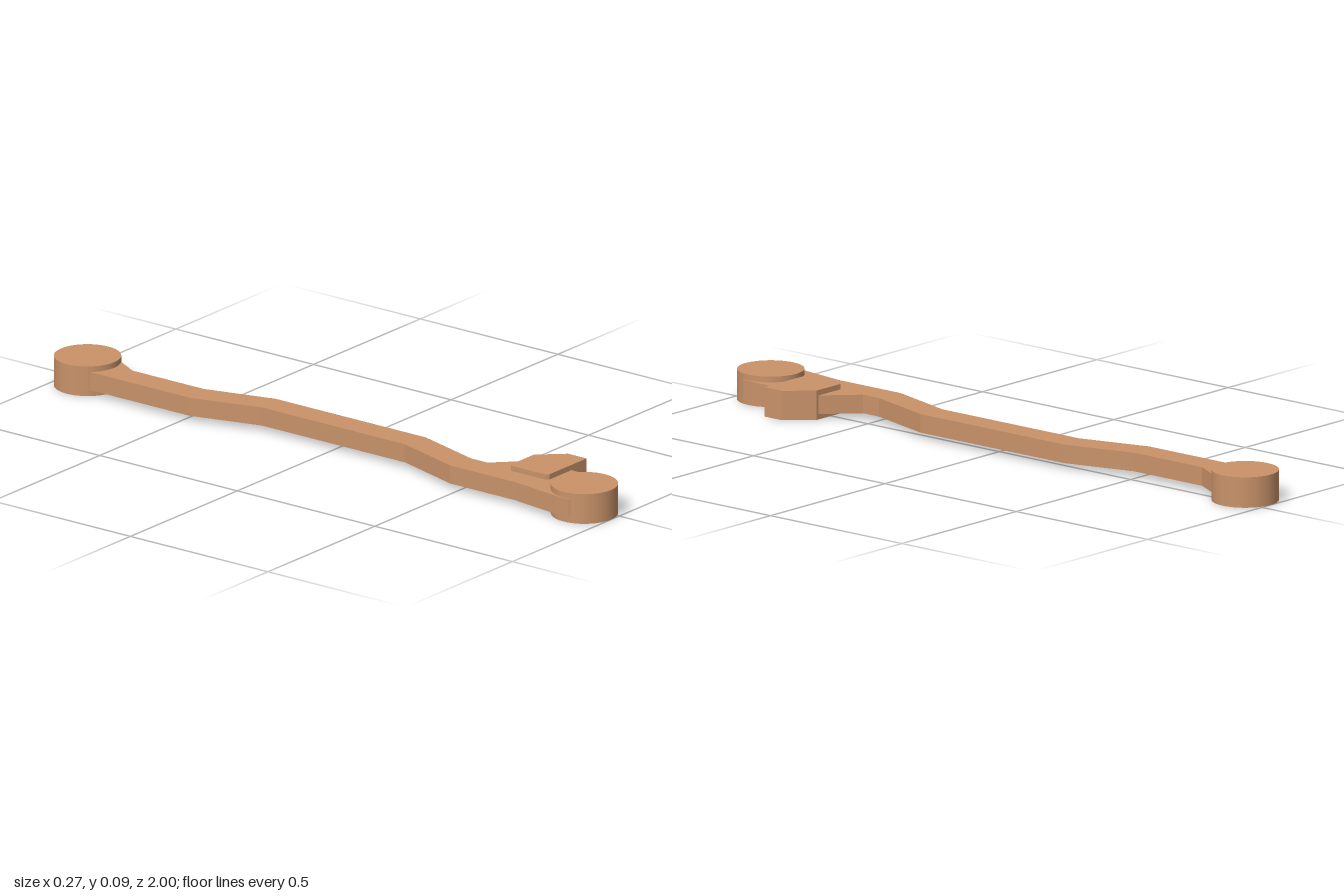
import * as THREE from 'three';

export function createModel() {
  const group = new THREE.Group();
  const material = new THREE.MeshStandardMaterial({ color: 0xc9936a });

  const add = (name, geometry) => {
    const mesh = new THREE.Mesh(geometry, material);
    mesh.name = name;
    group.add(mesh);
    return mesh;
  };

  // Flat plate between two heights, from an outline of [x, z] points
  const plate = (outline, bottom, top) => {
    const shape = new THREE.Shape(outline.map(([x, z]) => new THREE.Vector2(x, -z)));
    const geometry = new THREE.ExtrudeGeometry(shape, { depth: top - bottom, bevelEnabled: false });
    return geometry.rotateX(-Math.PI / 2).translate(0, bottom, 0);
  };

  // Cranked lever bar, widening to a gusset and a collar at the front
  add('leverBar', plate([
    [-0.11, -0.88], [-0.11, -0.475], [-0.05, -0.26], [-0.05, 0.26],
    [-0.115, 0.475], [-0.115, 0.71], [-0.138, 0.88], [-0.137, 0.92], [-0.11, 0.955],
    [0.035, 0.955], [0.063, 0.92], [0.066, 0.88], [0.066, 0.64],
    [-0.03, 0.545], [-0.03, 0.485], [0.034, 0.27], [0.034, -0.275],
    [-0.025, -0.49], [-0.025, -0.75], [0.03, -0.85], [0.03, -0.88],
  ], 0.018, 0.073));

  // Round pivot boss at each end
  for (const [name, z] of [['frontBoss', 0.903], ['rearBoss', -0.903]]) {
    const boss = add(name, new THREE.CylinderGeometry(0.097, 0.097, 0.09, 48));
    boss.position.set(-0.038, 0.045, z);
  }

  // Side stop block with one chamfered corner
  add('stopBlock', plate([
    [-0.045, 0.645], [-0.035, 0.635], [0.07, 0.635], [0.137, 0.708],
    [0.137, 0.775], [-0.037, 0.775], [-0.045, 0.767],
  ], 0.002, 0.089));

  return group;
}
